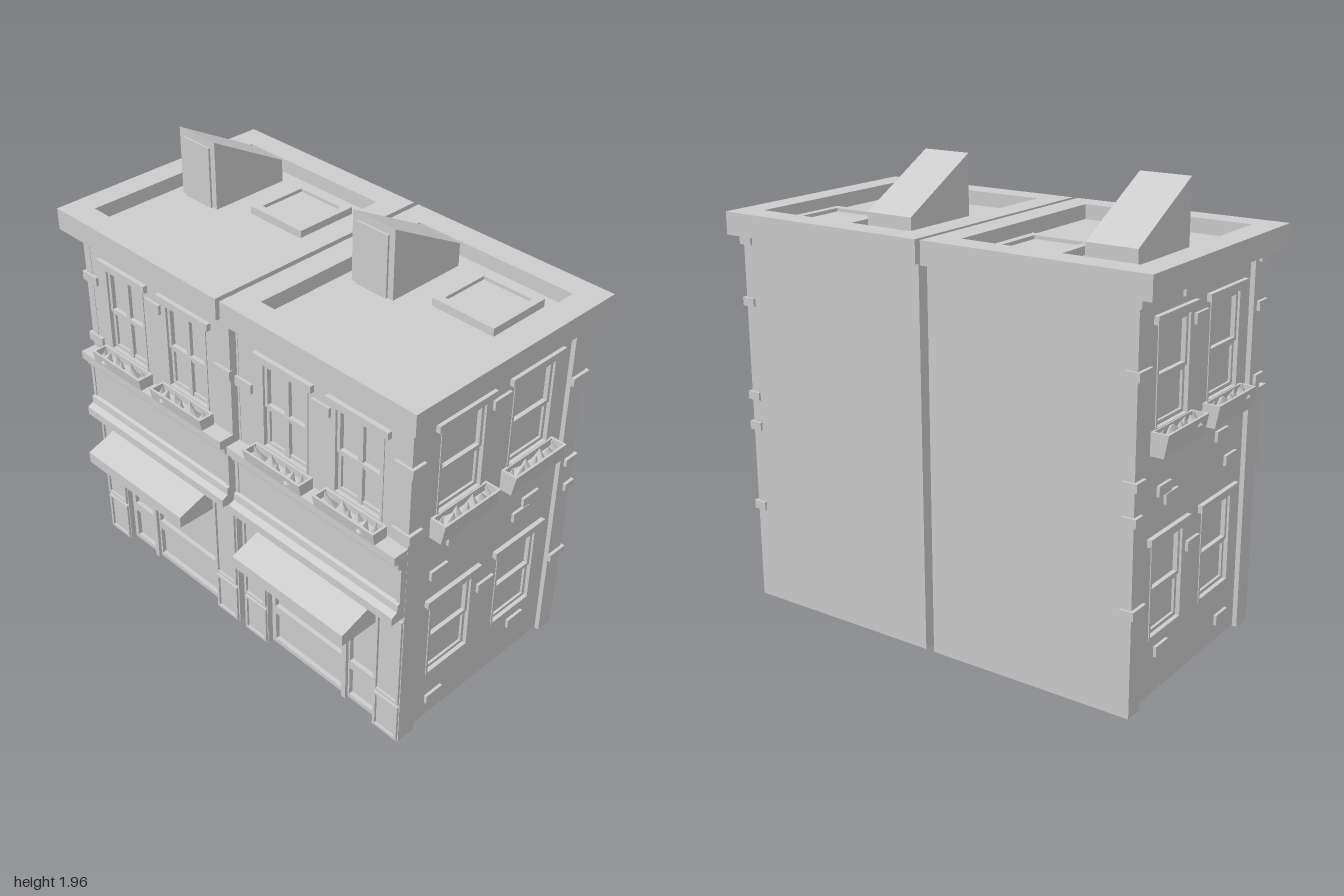
import * as THREE from 'three';

const stone = new THREE.MeshStandardMaterial({ color: 0xcccccc });
stone.name = 'plain stone';

// One house; s = 1 is the +x house, s = -1 its mirrored neighbour.
// Facade coordinates: u along the wall, v up, w outward. 'front' has u = x, w = z; 'side' has u = z, w = x.
function house(s) {
  const g = new THREE.Group();
  g.name = s > 0 ? 'leftHouse' : 'rightHouse';

  const add = (name, geo, parent = g) => {
    const m = new THREE.Mesh(geo, stone);
    m.name = name;
    parent.add(m);
    return m;
  };
  const box = (name, face, u0, u1, v0, v1, w0, w1) => {
    const du = u1 - u0, dw = w1 - w0, u = (u0 + u1) / 2, w = (w0 + w1) / 2;
    const front = face === 'front';
    const m = add(name, new THREE.BoxGeometry(front ? du : dw, v1 - v0, front ? dw : du));
    m.position.set(s * (front ? u : w), (v0 + v1) / 2, front ? w : u);
    return m;
  };
  // Profile in (w, v) swept along u
  const prism = (name, face, pts, u0, u1) => {
    const front = face === 'front';
    const shape = new THREE.Shape(pts.map(([w, v]) => new THREE.Vector2(front ? w : s * w, v)));
    const geo = new THREE.ExtrudeGeometry(shape, { depth: u1 - u0, bevelEnabled: false });
    if (front) geo.rotateY(-Math.PI / 2).translate(Math.max(s * u0, s * u1), 0, 0);
    else geo.translate(0, 0, u0);
    return add(name, geo);
  };
  // Wall slab with rectangular openings
  const wall = (name, face, u0, u1, v0, v1, w, t, holes) => {
    const front = face === 'front', k = front ? s : -1;
    const rect = (C, [a, b, c, d]) => new C([[a, c], [b, c], [b, d], [a, d]].map(([u, v]) => new THREE.Vector2(k * u, v)));
    const shape = rect(THREE.Shape, [u0, u1, v0, v1]);
    shape.holes = holes.map((h) => rect(THREE.Path, h));
    const geo = new THREE.ExtrudeGeometry(shape, { depth: t, bevelEnabled: false });
    if (front) geo.translate(0, 0, w - t);
    else geo.rotateY(Math.PI / 2).translate(s > 0 ? w - t : -w, 0, 0);
    add(name, geo);
  };
  // Four bars around a rectangle
  const frame = (name, face, [u0, u1, v0, v1], t, w0, w1) => {
    box(name, face, u0, u0 + t, v0, v1, w0, w1);
    box(name, face, u1 - t, u1, v0, v1, w0, w1);
    box(name, face, u0 + t, u1 - t, v0, v0 + t, w0, w1);
    box(name, face, u0 + t, u1 - t, v1 - t, v1, w0, w1);
  };
  // Sash window with lintel
  const sashWindow = (face, h, w, bars) => {
    const [u0, u1, v0, v1] = h, mid = (v0 + v1) / 2, c = (u0 + u1) / 2;
    box('windowPane', face, u0, u1, v0, v1, w - 0.03, w - 0.025);
    frame('windowFrame', face, h, 0.01, w - 0.03, w + 0.004);
    frame('upperSash', face, [u0 + 0.01, u1 - 0.01, mid - 0.01, v1 - 0.01], 0.015, w - 0.025, w - 0.006);
    frame('lowerSash', face, [u0 + 0.01, u1 - 0.01, v0 + 0.01, mid - 0.01], 0.015, w - 0.025, w - 0.014);
    if (bars) box('glazingBar', face, c - 0.012, c + 0.012, v0 + 0.01, v1 - 0.01, w - 0.025, w - 0.009);
    box('lintel', face, u0 - 0.03, u1 + 0.03, v1, v1 + 0.032, w - 0.01, w + 0.02);
  };
  // Tapered planter with leaf shards
  const planter = (face, u0, u1, w) => {
    const o = w + 0.075;
    prism('planterTrough', face, [[w, 1.0], [o - 0.018, 1.0], [o, 1.093], [o - 0.01, 1.093], [o - 0.016, 1.06], [w + 0.01, 1.06], [w + 0.01, 1.093], [w, 1.093]], u0, u1);
    const end = [[w, 1.0], [o - 0.018, 1.0], [o, 1.093], [w, 1.093]];
    prism('planterEnd', face, end, u0, u0 + 0.01);
    prism('planterEnd', face, end, u1 - 0.01, u1);
    for (let i = 0; i < 7; i++) {
      const u = u0 + 0.03 + (i / 6) * (u1 - u0 - 0.06);
      const r = 0.02 + 0.008 * (i % 3);
      const leaf = add('foliage', new THREE.ConeGeometry(r, 0.05, 4));
      const ww = w + 0.036 + 0.006 * ((i % 2) * 2 - 1);
      leaf.position.set(s * (face === 'front' ? u : ww), 1.08, face === 'front' ? ww : u);
      leaf.rotation.set(0.3 * Math.sin(i * 2.1), i * 1.3, 0.35 * Math.cos(i * 1.7));
    }
  };

  // Shell: party wall, back wall, corner piers
  box('partyWall', 'side', -0.575, 0.42, 0, 1.63, 0.02, 0.03);
  box('backWall', 'front', 0.02, 0.936, 0, 1.63, -0.575, -0.56);
  box('frontCornerPier', 'side', 0.33, 0.42, 0, 1.63, 0.895, 0.936);
  box('backCornerPier', 'side', -0.575, -0.49, 0, 1.63, 0.895, 0.936);

  // Upper front with two windows and planters
  const frontWins = [[0.16, 0.415, 1.085, 1.49], [0.55, 0.803, 1.085, 1.49]];
  wall('upperFrontWall', 'front', 0.02, 0.935, 0.66, 1.63, 0.418, 0.03, frontWins);
  for (const h of frontWins) {
    sashWindow('front', h, 0.418, true);
    planter('front', h[0] - 0.032, h[1] + 0.032, 0.426);
  }

  // Side wall with four windows
  const sideWins = [];
  for (const [a, b] of [[-0.005, 0.25], [-0.405, -0.155]])
    for (const [c, d] of [[1.085, 1.49], [0.245, 0.642]]) sideWins.push([a, b, c, d]);
  wall('sideWall', 'side', -0.49, 0.33, 0.005, 1.63, 0.915, 0.03, sideWins);
  for (const h of sideWins) {
    sashWindow('side', h, 0.915, false);
    if (h[2] > 1) planter('side', h[0] - 0.03, h[1] + 0.03, 0.915);
  }

  // Loose bricks on the side wall: u, v of the low corner
  for (const [u, v] of [[-0.225, 1.55], [-0.13, 1.425], [0.083, 0.9], [-0.375, 0.822], [-0.32, 0.775],
    [0.17, 0.775], [-0.13, 0.515], [-0.36, 0.16], [0.15, 0.08]])
    box('sideBrick', 'side', u, u + 0.095, v, v + 0.043, 0.91, 0.928);
  // Bricks wrapping the corners: length on the side, height
  for (const [l, v] of [[0.07, 1.58], [0.095, 1.32], [0.07, 0.91], [0.055, 0.775], [0.095, 0.41]])
    box('backCornerBrick', 'side', -0.585, -0.585 + l, v, v + 0.036, 0.89, 0.95);
  for (const v of [1.575, 1.375, 1.07])
    box('frontCornerBrick', 'side', 0.358, 0.43, v, v + 0.04, 0.858, 0.95);
  for (const [u, v] of [[0.016, 1.31], [0.44, 1.422]])
    box('frontBrick', 'front', u, u + 0.092, v, v + 0.043, 0.41, 0.43);

  // Shop fascia and mouldings
  prism('fascia', 'front', [[0.41, 0.70], [0.49, 0.70], [0.49, 0.738], [0.463, 0.752], [0.46, 0.785], [0.445, 0.79],
    [0.445, 0.955], [0.465, 0.965], [0.468, 0.995], [0.49, 1.003], [0.49, 1.04], [0.41, 1.04]], 0.02, 0.935);
  for (const u of [0.02, 0.917]) box('fasciaEnd', 'front', u, u + 0.018, 0.79, 0.957, 0.44, 0.45);

  // Shop pillars with panels
  for (const u of [0.023, 0.795]) {
    box('shopPillar', 'front', u, u + 0.141, 0, 0.7, 0.385, 0.42);
    frame('pillarPanel', 'front', [u + 0.004, u + 0.137, 0.008, 0.2], 0.013, 0.42, 0.43);
    frame('pillarPanel', 'front', [u + 0.004, u + 0.137, 0.215, 0.67], 0.013, 0.42, 0.43);
  }

  // Recessed shop window and door
  box('shopBacking', 'front', 0.16, 0.797, 0, 0.7, 0.365, 0.375);
  for (const [a, b] of [[0.166, 0.612], [0.612, 0.793]]) {
    frame('shopPanelFrame', 'front', [a, b, 0.005, 0.2], 0.022, 0.37, 0.395);
    frame('shopWindowFrame', 'front', [a, b, 0.2, 0.68], 0.022, 0.37, 0.395);
  }
  box('shopMullion', 'front', 0.6, 0.625, 0, 0.7, 0.37, 0.41);

  // Awning
  prism('awning', 'front', [[0.41, 0.57], [0.605, 0.57], [0.605, 0.623], [0.41, 0.69]], 0.165, 0.79);
  return g;
}

// Roof with parapet, stair shed and skylight; dx shifts the whole roof
function roof(dx) {
  const g = new THREE.Group();
  g.name = 'roof';
  g.position.x = dx;
  const box = (name, x0, x1, y0, y1, z0, z1) => {
    const m = new THREE.Mesh(new THREE.BoxGeometry(x1 - x0, y1 - y0, z1 - z0), stone);
    m.name = name;
    m.position.set((x0 + x1) / 2, (y0 + y1) / 2, (z0 + z1) / 2);
    g.add(m);
  };
  const ring = (name, [a, b, c, d], t, y0, y1) => {
    box(name, a, a + t[0], y0, y1, c, d);
    box(name, b - t[0], b, y0, y1, c, d);
    box(name, a + t[0], b - t[0], y0, y1, c, c + t[1]);
    box(name, a + t[0], b - t[0], y0, y1, d - t[1], d);
  };
  box('roofDeck', 0.11, 0.9, 1.617, 1.65, -0.5, 0.38);
  ring('parapet', [0.012, 1.0, -0.605, 0.487], [0.11, 0.11], 1.617, 1.713);
  ring('skylightFrame', [0.513, 0.813, -0.43, -0.134], [0.033, 0.036], 1.65, 1.685);
  box('skylightPane', 0.54, 0.785, 1.65, 1.67, -0.4, -0.165);

  // Sloping stair shed, profile in (z, y)
  const profile = new THREE.Shape([[-0.43, 1.64], [-0.053, 1.64], [-0.053, 1.955], [-0.43, 1.75]].map((p) => new THREE.Vector2(...p)));
  const geo = new THREE.ExtrudeGeometry(profile, { depth: 0.218, bevelEnabled: false });
  geo.rotateY(-Math.PI / 2).translate(0.388, 0, 0);
  const shed = new THREE.Mesh(geo, stone);
  shed.name = 'stairShed';
  g.add(shed);
  box('shedDoor', 0.199, 0.36, 1.65, 1.922, -0.055, -0.044);
  return g;
}

export function createModel() {
  const model = new THREE.Group();
  model.name = 'terraceHouses';
  for (const s of [1, -1]) model.add(house(s));
  for (const dx of [0, -1.012]) model.add(roof(dx));
  return model;
}
